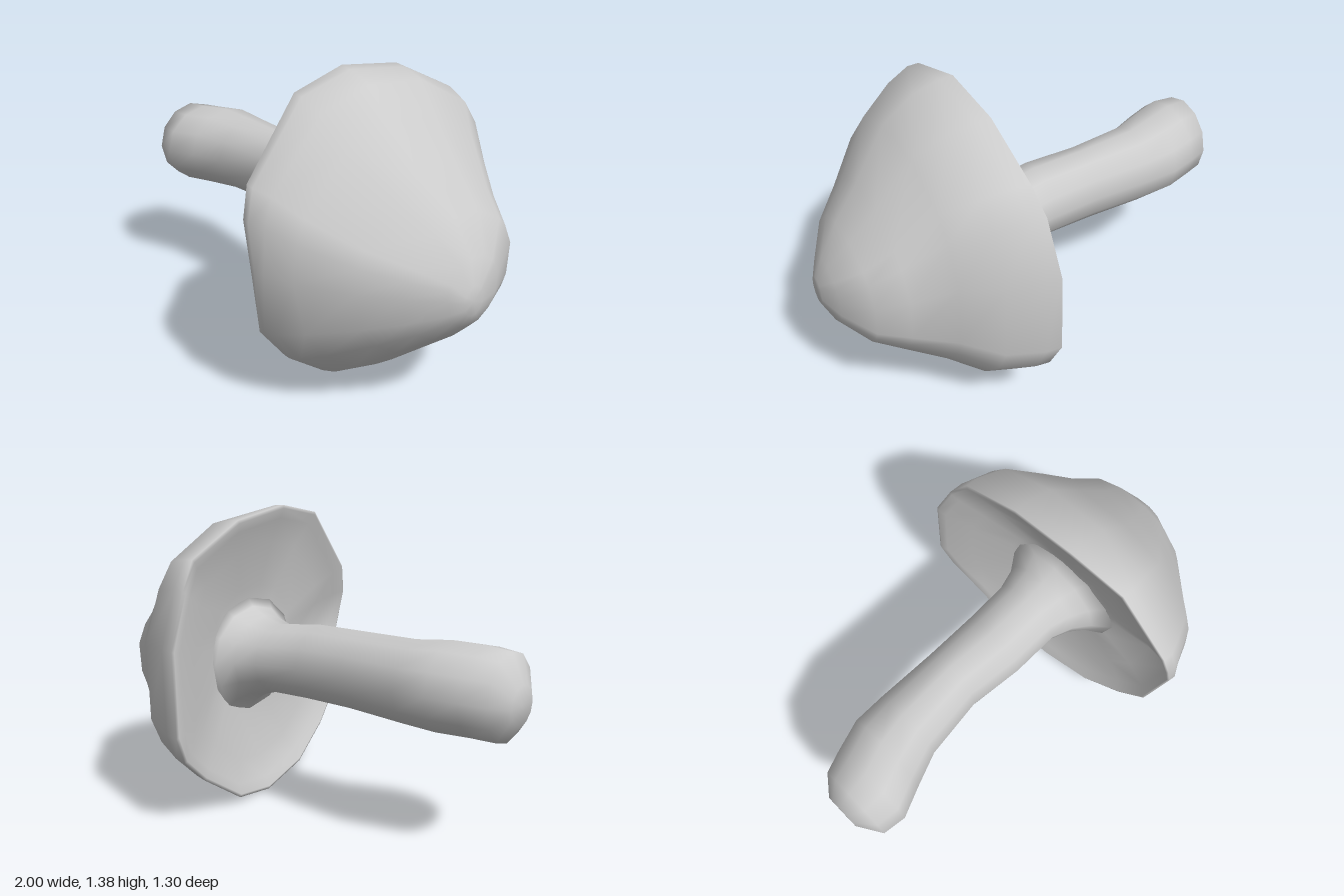
import * as THREE from 'three';

// Skin a list of closed rings (arrays of [x, y, z]); the ends are capped with a centre point.
function loft(rings) {
  const n = rings[0].length;
  const pos = rings.flat(2);
  const idx = [];
  for (let i = 0; i < rings.length - 1; i++) {
    for (let j = 0; j < n; j++) {
      const a = i * n + j, b = i * n + (j + 1) % n;
      idx.push(a, b, a + n, b, b + n, a + n);
    }
  }
  const centre = (ring) => [0, 1, 2].map((k) => ring.reduce((s, p) => s + p[k], 0) / n);
  const first = rings.length * n, last = first + 1, off = (rings.length - 1) * n;
  pos.push(...centre(rings[0]), ...centre(rings[rings.length - 1]));
  for (let j = 0; j < n; j++) {
    const k = (j + 1) % n;
    idx.push(first, k, j, last, off + j, off + k);
  }
  const g = new THREE.BufferGeometry();
  g.setAttribute('position', new THREE.Float32BufferAttribute(pos, 3));
  g.setIndex(idx);
  g.computeVertexNormals();
  return g;
}

// Wavy rim of the cap: [x, y, z] around the edge
const RIM = [
  [0.28, 1.385, 0.1], [0.31, 1.33, 0.36], [0.34, 1.03, 0.61], [0.36, 0.9, 0.645],
  [0.41, 0.7, 0.65], [0.37, 0.39, 0.59], [0.36, 0.22, 0.46], [0.34, 0.07, 0.27],
  [0.32, 0, 0.02], [0.3, 0.03, -0.2], [0.27, 0.2, -0.45], [0.24, 0.33, -0.59],
  [0.22, 0.46, -0.65], [0.23, 0.84, -0.65], [0.245, 1.08, -0.56], [0.27, 1.2, -0.48],
  [0.275, 1.34, -0.2],
];

// Cap rings from hollow underside to tip:
// [x, bottom y, top y, back z, front z, share of the rim's waviness, roundness]
const CAP = [
  [0.42, 0.5, 0.88, -0.18, 0.18, 0, 1], [0.41, 0.37, 1.01, -0.3, 0.3, 0.4, 0.5],
  [0.375, 0.17, 1.21, -0.48, 0.48, 1, 0], [0.34, 0.06, 1.325, -0.6, 0.6, 1.2, 0],
  [0.315, 0.015, 1.37, -0.638, 0.635, 1, 0], [0.32, 0, 1.385, -0.65, 0.645, 1, 0],
  [0.37, 0.01, 1.38, -0.645, 0.65, 0.8, 0], [0.47, 0.05, 1.35, -0.605, 0.63, 0.1, 0.4],
  [0.6, 0.155, 1.24, -0.49, 0.58, 0, 0.7], [0.76, 0.29, 1.04, -0.385, 0.42, 0, 1],
  [0.88, 0.39, 0.92, -0.31, 0.29, 0, 1], [0.965, 0.48, 0.78, -0.14, 0.14, 0, 1],
  [1, 0.55, 0.68, -0.02, 0.08, 0, 1],
];

// Stem stations: [x, bottom y, top y, back z, front z]
const STEM = [
  [-1, 0.61, 0.78, -0.03, 0.14], [-0.935, 0.52, 0.9, -0.11, 0.25],
  [-0.83, 0.525, 0.91, -0.15, 0.265], [-0.7, 0.53, 0.92, -0.19, 0.21],
  [-0.55, 0.54, 0.905, -0.19, 0.15], [-0.27, 0.55, 0.9, -0.18, 0.115],
  [-0.03, 0.545, 0.89, -0.185, 0.14], [0.2, 0.54, 0.86, -0.2, 0.135],
  [0.3, 0.505, 0.885, -0.23, 0.17], [0.37, 0.46, 0.92, -0.28, 0.22],
  [0.43, 0.39, 0.98, -0.33, 0.29],
];

export function createModel() {
  const group = new THREE.Group();
  group.name = 'mushroom';
  const material = new THREE.MeshStandardMaterial({ color: 0xcccccc, side: THREE.DoubleSide });
  const add = (name, rings) => {
    const mesh = new THREE.Mesh(loft(rings), material);
    mesh.name = name;
    group.add(mesh);
  };

  // Cap: the rim outline fitted into the bounds of each ring, evened out toward the tip
  add('cap', CAP.map(([x, y0, y1, z0, z1, wave, round]) => RIM.map(([rx, ry, rz]) => {
    const u = ry / 0.6925 - 1, v = rz / 0.65;
    const k = Math.hypot(u, v) ** -round;
    return [
      x + (rx - 0.31) * wave,
      THREE.MathUtils.mapLinear(u * k, -1, 1, y0, y1),
      THREE.MathUtils.mapLinear(v * k, -1, 1, z0, z1),
    ];
  })));

  // Stem: elliptical sections, bulging at the foot and flaring under the cap
  const sides = 12;
  add('stem', STEM.map(([x, y0, y1, z0, z1]) => Array.from({ length: sides }, (_, j) => {
    const a = (j / sides) * Math.PI * 2;
    return [
      x,
      (y0 + y1) / 2 + ((y1 - y0) / 2) * Math.cos(a),
      (z0 + z1) / 2 + ((z1 - z0) / 2) * Math.sin(a),
    ];
  })));

  return group;
}
